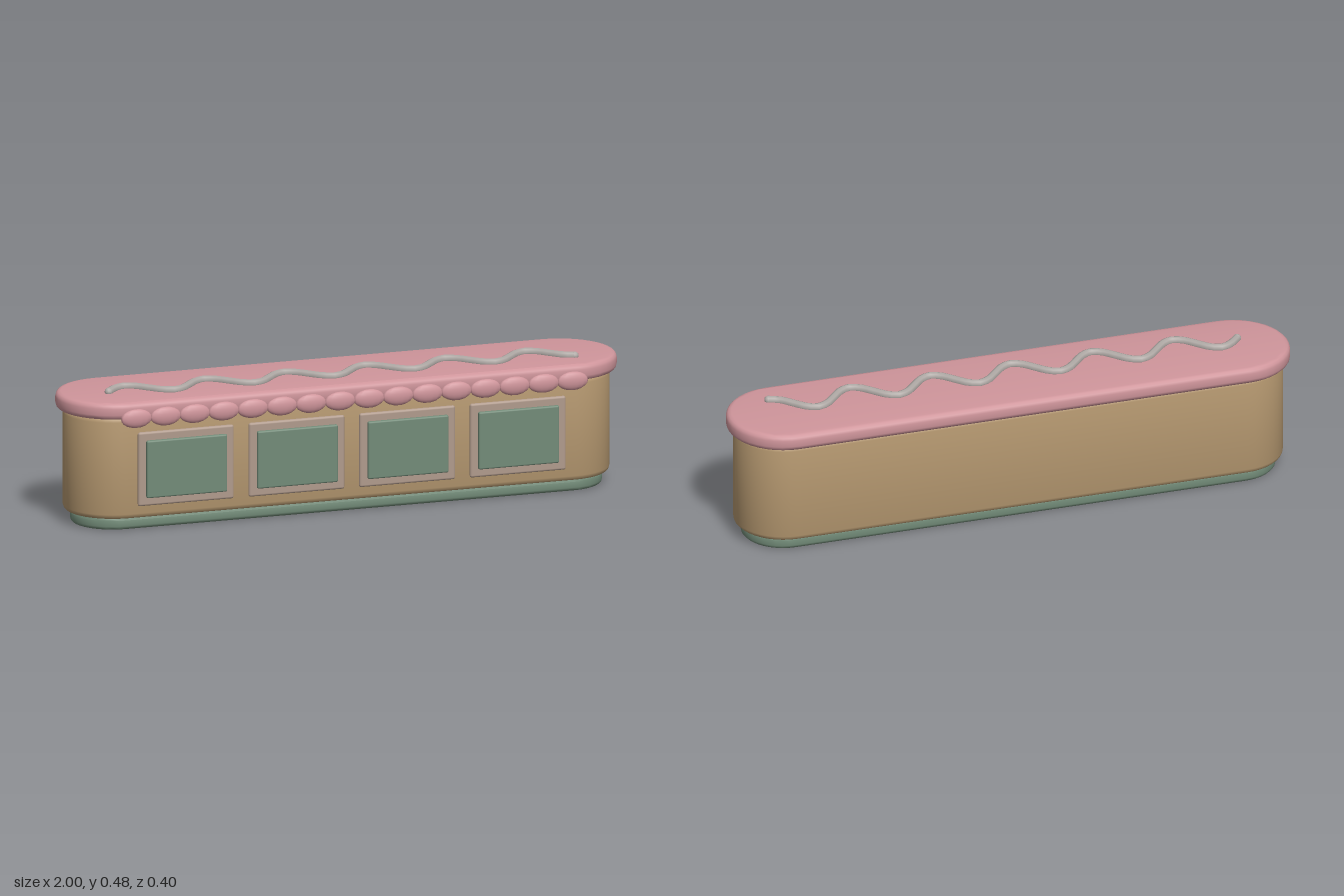
import * as THREE from 'three';
import { toCreasedNormals } from 'three/addons/utils/BufferGeometryUtils.js';
import { RoundedBoxGeometry } from 'three/addons/geometries/RoundedBoxGeometry.js';

const mat = (name, color) => {
  const m = new THREE.MeshStandardMaterial({ color });
  m.name = name;
  return m;
};

// Horizontal slab with semicircular ends and bevelled rims
function slab(halfX, halfZ, y0, y1, bevel) {
  const s = new THREE.Shape();
  const c = halfX - halfZ;
  s.moveTo(-c, -halfZ);
  s.lineTo(c, -halfZ);
  s.absarc(c, 0, halfZ, -Math.PI / 2, Math.PI / 2, false);
  s.lineTo(-c, halfZ);
  s.absarc(-c, 0, halfZ, Math.PI / 2, Math.PI * 1.5, false);
  const g = new THREE.ExtrudeGeometry(s, {
    depth: y1 - y0 - 2 * bevel, curveSegments: 10, bevelEnabled: true,
    bevelThickness: bevel, bevelSize: bevel, bevelOffset: -bevel, bevelSegments: 3,
  });
  g.rotateX(-Math.PI / 2);
  g.translate(0, y0 + bevel, -0.007);
  return toCreasedNormals(g, 0.7);
}

export function createModel() {
  const group = new THREE.Group();
  const tan = mat('tan', 0xb4976f);
  const pink = mat('pink', 0xcf959b);
  const green = mat('sage green', 0x728b78);
  const taupe = mat('taupe', 0xb09a8c);
  const grey = mat('warm grey', 0xb0aaa6);

  const add = (name, geometry, material, x = 0, y = 0, z = 0) => {
    const m = new THREE.Mesh(geometry, material);
    m.name = name;
    m.position.set(x, y, z);
    group.add(m);
    return m;
  };

  // Stacked base, body and lid
  add('base', slab(0.95, 0.144, 0, 0.046, 0.013), green);
  add('body', slab(0.975, 0.17, 0.043, 0.403, 0.018), tan);
  add('lid', slab(1, 0.195, 0.399, 0.457, 0.018), pink);

  // Framed windows along the front
  const frameGeo = new RoundedBoxGeometry(0.345, 0.26, 0.03, 2, 0.008);
  const paneGeo = new RoundedBoxGeometry(0.29, 0.202, 0.03, 2, 0.006);
  for (let i = 0; i < 4; i++) {
    const x = -0.6 + i * 0.3985;
    add('windowFrame', frameGeo, taupe, x, 0.217, 0.156);
    add('windowPane', paneGeo, green, x, 0.217, 0.167);
  }

  // Row of beads under the lid's front edge
  const beadGeo = new THREE.SphereGeometry(1, 14, 10);
  for (let i = 0; i < 16; i++) {
    add('bead', beadGeo, pink, -0.785 + i * 0.1047, 0.403, 0.187).scale.set(0.056, 0.033, 0.016);
  }

  // Wavy piped line on the lid, with rounded ends
  const points = [];
  const steps = 46;
  for (let i = 0; i <= steps; i++) {
    const t = i / steps;
    points.push(new THREE.Vector3(-0.83 + 1.66 * t, 0.461, 0.026 - 0.052 * Math.sin(t * 5.75 * Math.PI * 2)));
  }
  add('wavyPiping', new THREE.TubeGeometry(new THREE.CatmullRomCurve3(points), 92, 0.0145, 8), grey);
  const tip = new THREE.SphereGeometry(0.0145, 10, 8);
  for (const p of [points[0], points[steps]]) add('pipingTip', tip, grey, p.x, p.y, p.z);

  return group;
}
